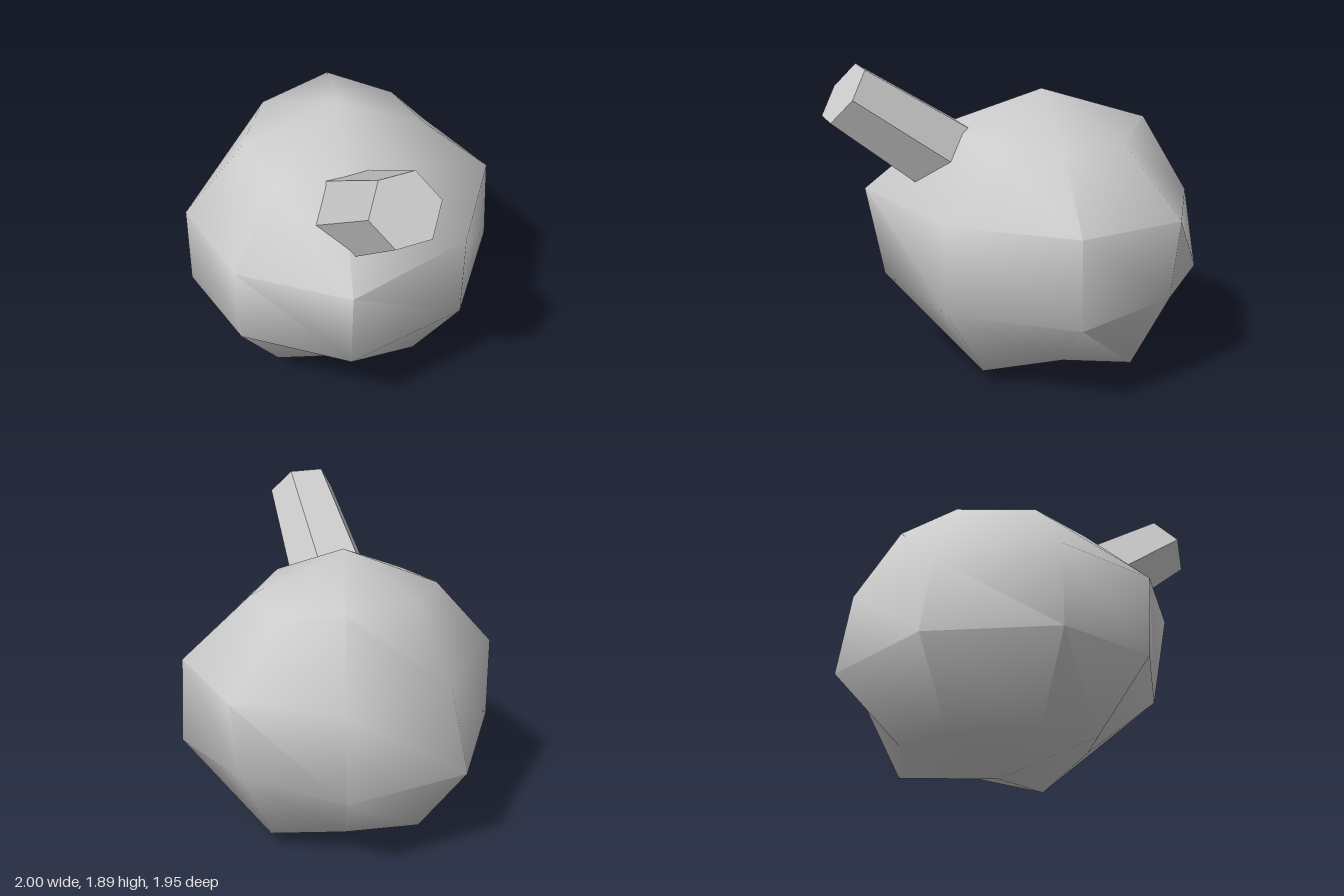
import * as THREE from 'three';
import { toCreasedNormals } from 'three/addons/utils/BufferGeometryUtils.js';

// Radius factors of the lumpy ball: one row per ring from top to bottom,
// starting at -x and going round by the front (+z)
const RINGS = [
  [0.885],
  [0.834, 0.80, 0.761, 0.84, 0.80, 0.78, 0.785, 0.87],
  [0.755, 0.80, 0.79, 0.933, 0.87, 0.84, 0.798, 0.775],
  [0.88, 0.80, 0.77, 0.845, 0.86, 0.86, 0.75, 0.845],
  [0.912, 0.86, 0.818, 0.76, 0.904, 0.78, 0.88, 0.82],
  [0.815],
];

function lumpyBall() {
  const geometry = new THREE.SphereGeometry(1, 8, 5);
  const position = geometry.attributes.position;
  const v = new THREE.Vector3();
  for (let i = 0; i < position.count; i++) {
    const row = RINGS[Math.floor(i / 9)];
    v.fromBufferAttribute(position, i).multiplyScalar(row[(i % 9) % row.length]);
    position.setXYZ(i, v.x * 1.1 - 0.08, v.y + 0.815, v.z * 1.29);
  }
  return toCreasedNormals(geometry, Math.PI / 3);
}

// Six-sided stub that widens towards the ball and ends inside it
function slantedStub() {
  const length = 0.9;
  const end = new THREE.Vector3(0.853, 1.745, 0.707);
  const axis = new THREE.Vector3(0.69, 0.59, 0.414).normalize();
  const corner = new THREE.Vector3(-0.145, 0.145, 0.035);
  corner.addScaledVector(axis, -corner.dot(axis)).normalize();
  const side = new THREE.Vector3().crossVectors(axis, corner);

  const geometry = new THREE.CylinderGeometry(0.206, 0.265, length, 6);
  geometry.translate(0, -length / 2, 0);
  geometry.applyMatrix4(new THREE.Matrix4().makeBasis(side, axis, corner).setPosition(end));
  return toCreasedNormals(geometry, 0.3);
}

export function createModel() {
  const model = new THREE.Group();
  const grey = new THREE.MeshStandardMaterial({ color: 0xcccccc });
  grey.name = 'grey';

  const body = new THREE.Mesh(lumpyBall(), grey);
  body.name = 'body';

  const stub = new THREE.Mesh(slantedStub(), grey);
  stub.name = 'stub';

  model.add(body, stub);
  return model;
}
